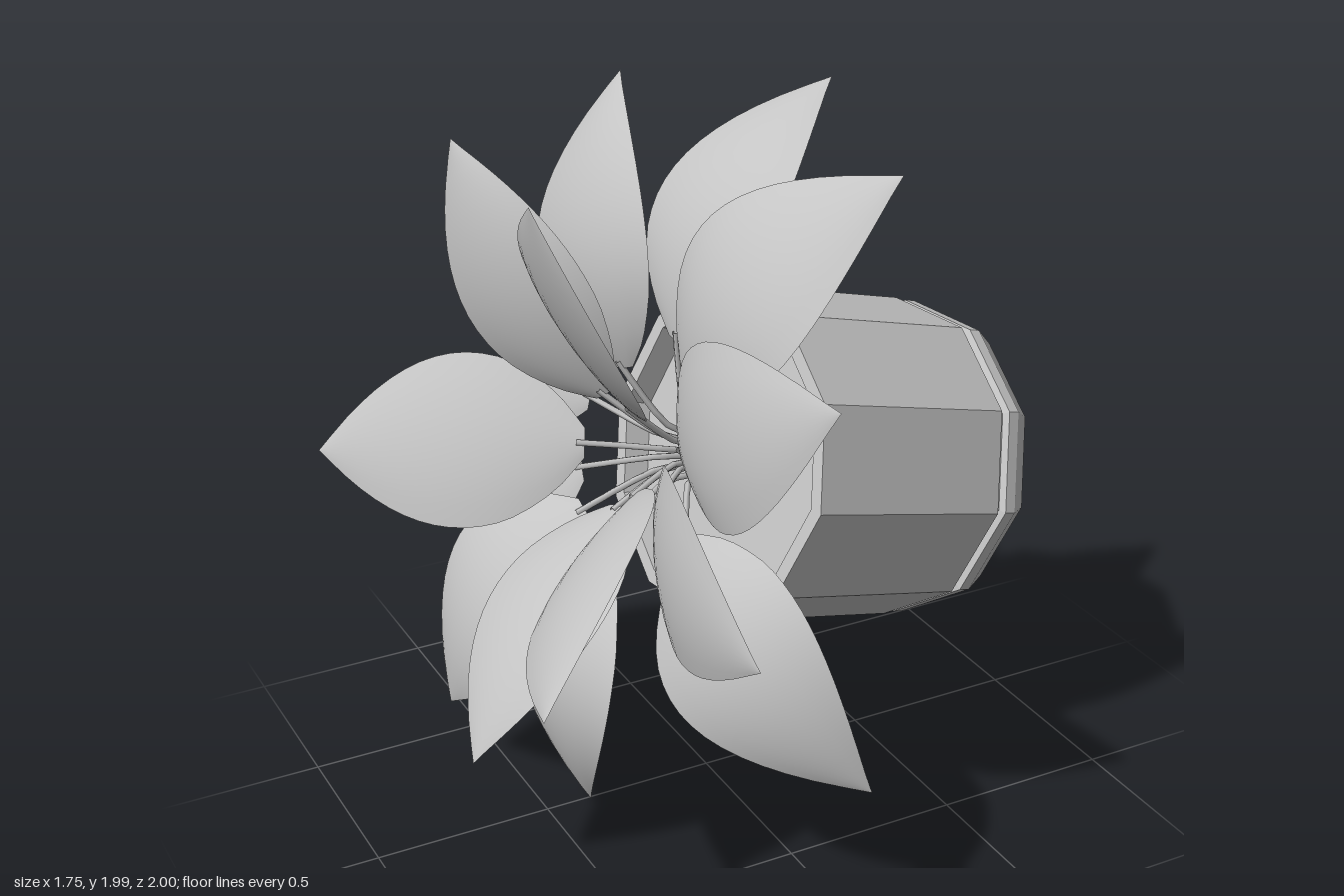
import * as THREE from 'three';

const V = (x, y, z) => new THREE.Vector3(x, y, z);

export function createModel() {
  const group = new THREE.Group();
  const grey = new THREE.MeshStandardMaterial({ color: 0xc4c4c4, side: THREE.DoubleSide });
  grey.name = 'light grey';

  // Pot axis runs from the planted mouth to the hollow foot
  const axis = V(1, -0.3, -0.15).normalize();
  const side = V(0.15, 0, 1).normalize();
  const mouth = V(0, 1.015, 0.05);

  // Ten-sided pot: soil disc, mouth, wall, groove, bevelled foot, hollow underside
  const profile = [
    [0, 0.07], [0.4, 0.07], [0.415, 0], [0.455, 0], [0.452, 0.65],
    [0.425, 0.655], [0.425, 0.68], [0.447, 0.685], [0.447, 0.72], [0.405, 0.79],
    [0.335, 0.79], [0.335, 0.765], [0.36, 0.75], [0.385, 0.09], [0, 0.09],
  ].map(([r, t]) => new THREE.Vector2(r, t));
  const potGeometry = new THREE.LatheGeometry(profile, 10).toNonIndexed();
  potGeometry.computeVertexNormals();
  const pot = new THREE.Mesh(potGeometry, grey);
  pot.name = 'pot';
  pot.applyMatrix4(new THREE.Matrix4()
    .makeBasis(axis.clone().cross(side), axis, side).setPosition(mouth));
  group.add(pot);

  // Leaf half-widths from base to tip
  const widths = new THREE.SplineCurve([
    [0, 0.04], [0.1, 0.135], [0.25, 0.212], [0.4, 0.238], [0.55, 0.227],
    [0.7, 0.182], [0.85, 0.105], [1, 0],
  ].map(([s, w]) => new THREE.Vector2(s, w)));

  const outward = axis.clone().negate();
  const root = V(-0.02, 1.0, 0.0);
  const leafStart = 0.26;

  // Leaf blade: a cupped strip swept along the upper part of the curve
  function bladeGeometry(curve, across) {
    const rows = 18, cols = 8, positions = [], index = [];
    for (let i = 0; i <= rows; i++) {
      const p = widths.getPoint(i / rows);
      const t = Math.min(1, leafStart + (1 - leafStart) * p.x);
      const centre = curve.getPoint(t);
      const up = across.clone().cross(curve.getTangent(t)).normalize();
      if (up.dot(outward) < 0) up.negate();
      for (let j = 0; j <= cols; j++) {
        const u = (j / cols) * 2 - 1;
        const v = centre.clone()
          .addScaledVector(across, u * p.y)
          .addScaledVector(up, -0.14 * u * u * p.y);
        positions.push(v.x, v.y, v.z);
        if (i < rows && j < cols) {
          const a = i * (cols + 1) + j, b = a + cols + 1;
          index.push(a, b, a + 1, b, b + 1, a + 1);
        }
      }
    }
    const g = new THREE.BufferGeometry();
    g.setAttribute('position', new THREE.Float32BufferAttribute(positions, 3));
    g.setIndex(index);
    g.computeVertexNormals();
    return g;
  }

  // Leaves: tip, with an optional roll about the length and a nudge to the bend
  const leaves = [
    { tip: [0.385, 1.98, -0.03] },
    { tip: [-0.09, 1.99, -0.31] },
    { tip: [-0.51, 1.82, -0.47] },
    { tip: [0.24, 1.91, 0.56] },
    { tip: [-0.6, 1.87, 0.25] },
    { tip: [-0.11, 1.49, 0.88], roll: 0.15, nudge: [0.1, -0.07, 0] },
    { tip: [-0.38, 0.94, 1.0], roll: 0.35, nudge: [0.05, -0.1, 0] },
    { tip: [0.01, 0.42, 0.88], roll: -0.17, nudge: [-0.03, 0.08, 0.08] },
    { tip: [-0.82, 0.41, 0.28], nudge: [0.04, 0, 0.03] },
    { tip: [-0.37, 0.0, 0.01], nudge: [-0.03, 0, 0] },
    { tip: [-0.65, 0.22, -0.32] },
    { tip: [-0.31, 0.54, -0.81], nudge: [0.04, 0, 0] },
    { tip: [0.0, 1.05, -1.0], nudge: [0, 0.05, 0] },
    { tip: [-0.87, 0.91, -0.67], nudge: [0.06, 0.03, -0.05] },
    { tip: [-0.78, 0.73, 0.66], nudge: [0.04, 0, 0] },
  ];

  leaves.forEach(({ tip, roll = 0, nudge = [0, 0, 0] }, i) => {
    const end = V(...tip);
    const dir = end.clone().sub(root).normalize();
    const bow = outward.clone().addScaledVector(dir, -outward.dot(dir));
    const control = root.clone().lerp(end, 0.54)
      .addScaledVector(bow, 0.55 * bow.length()).add(V(...nudge));
    const curve = new THREE.QuadraticBezierCurve3(root, control, end);
    const across = dir.clone().cross(outward).normalize().applyAxisAngle(dir, roll);

    const blade = new THREE.Mesh(bladeGeometry(curve, across), grey);
    blade.name = 'leaf' + (i + 1);
    group.add(blade);

    // Thin stem rooted just through the soil disc
    const foot = root.clone().addScaledVector(axis, 0.15).addScaledVector(bow, 0.02)
      .addScaledVector(dir, 0.05);
    const path = new THREE.CatmullRomCurve3(
      [foot, curve.getPoint(0.08), curve.getPoint(0.17), curve.getPoint(leafStart + 0.02)]);
    const stem = new THREE.Mesh(new THREE.TubeGeometry(path, 8, 0.009, 5), grey);
    stem.name = 'stem' + (i + 1);
    group.add(stem);
  });

  return group;
}
